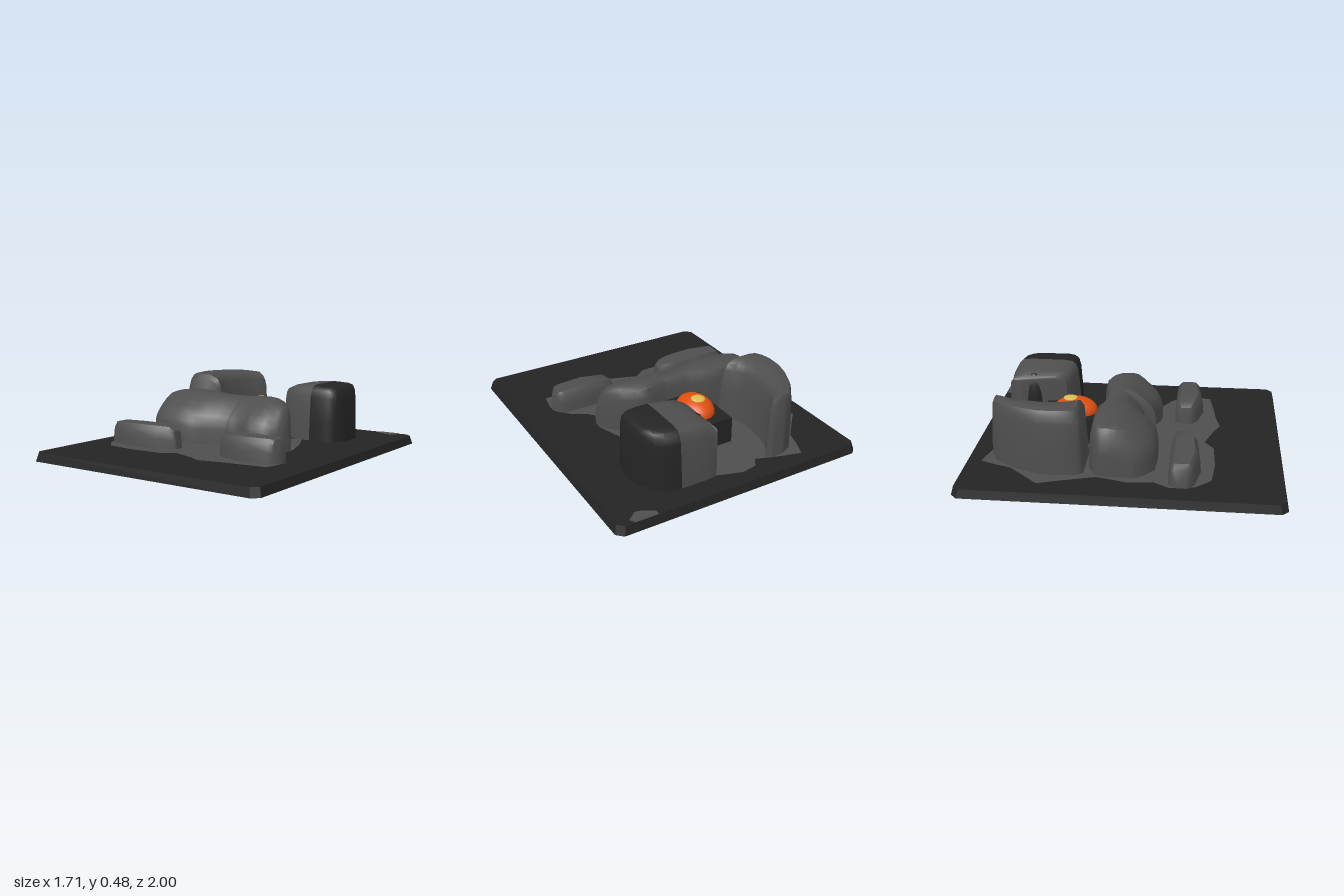
import * as THREE from 'three';
import { toCreasedNormals } from 'three/addons/utils/BufferGeometryUtils.js';

const GROUND = 0.055;

function material(name, color) {
  const m = new THREE.MeshStandardMaterial({ color });
  m.name = name;
  return m;
}

// Flat outline given as [x, z] pairs
function outline(points) {
  return new THREE.Shape(points.map(([x, z]) => new THREE.Vector2(x, -z)));
}

// Rock lofted along x or z. Each section is [position, sideA, sideB, height];
// the profile runs from side A over the top to side B as [across, up] fractions.
function loft(sections, profile, axis = 'x') {
  const pos = [], index = [], n = profile.length, base = 0.04;
  for (const [s, a, b, h] of sections) {
    for (const [f, u] of profile) {
      const across = a + (b - a) * f, y = base + (h - base) * u;
      if (axis === 'x') pos.push(s, y, across);
      else pos.push(across, y, s);
    }
  }
  const last = (sections.length - 1) * n;
  for (let i = 0; i < sections.length - 1; i++) {
    for (let j = 0; j < n - 1; j++) {
      const p = i * n + j, q = p + n;
      index.push(p, q, p + 1, q, q + 1, p + 1);
    }
  }
  for (let j = 1; j < n - 1; j++) {
    index.push(0, j, j + 1, last, last + j + 1, last + j);
  }
  const g = new THREE.BufferGeometry();
  g.setAttribute('position', new THREE.Float32BufferAttribute(pos, 3));
  g.setIndex(index);
  return toCreasedNormals(g, 0.7);
}

export function createModel() {
  const model = new THREE.Group();
  model.name = 'rockShrine';
  const slate = material('dark slate', 0x242424);
  const stone = material('grey stone', 0x4e4e4e);
  const orange = material('orange', 0xe0500f);
  const yellow = material('pale yellow', 0xdcbc50);

  function add(name, geometry, mat, x = 0, y = 0, z = 0) {
    const mesh = new THREE.Mesh(geometry, mat);
    mesh.name = name;
    mesh.position.set(x, y, z);
    model.add(mesh);
    return mesh;
  }

  // Slab with clipped corners and slightly sloping sides
  const X = 0.855, Z = 1, C = 0.04;
  const slab = new THREE.ExtrudeGeometry(outline([
    [-X + C, Z], [X - C, Z], [X, Z - C], [X, -Z + C],
    [X - C, -Z], [-X + C, -Z], [-X, -Z + C], [-X, Z - C],
  ]), { depth: GROUND, bevelEnabled: false }).rotateX(-Math.PI / 2);
  const p = slab.attributes.position;
  for (let i = 0; i < p.count; i++) {
    if (p.getY(i) > 0.01) p.setXYZ(i, p.getX(i) * 0.983, GROUND, p.getZ(i) * 0.986);
  }
  slab.computeVertexNormals();
  add('slab', slab, slate);

  // Stone stains on top of the slab
  function stain(name, points, mat, y) {
    add(name, new THREE.ShapeGeometry(outline(points)).rotateX(-Math.PI / 2), mat, 0, y, 0);
  }
  stain('stoneGround', [
    [-0.48, -0.9], [-0.36, -0.87], [-0.19, -0.81], [-0.15, -0.87], [-0.05, -0.89], [0.08, -0.85],
    [0.2, -0.8], [0.3, -0.38], [0.39, -0.2], [0.46, 0], [0.46, 0.05], [0.41, 0.14],
    [0.46, 0.2], [0.55, 0.25], [0.63, 0.35], [0.63, 0.42], [0.61, 0.53], [0.4, 0.56],
    [0.3, 0.57], [0.16, 0.6], [0.08, 0.56], [-0.09, 0.5], [-0.17, 0.56], [-0.4, 0.57],
    [-0.6, 0.55], [-0.69, 0.45], [-0.71, 0.3], [-0.65, 0.2], [-0.67, 0.05], [-0.62, -0.15],
    [-0.68, -0.35], [-0.73, -0.5], [-0.62, -0.62], [-0.55, -0.7], [-0.52, -0.8],
  ], stone, GROUND + 0.003);
  stain('cornerStone', [
    [0.59, -0.985], [0.74, -0.985], [0.76, -0.95], [0.7, -0.9], [0.66, -0.91], [0.59, -0.95],
  ], stone, GROUND + 0.003);
  stain('darkChip', [[-0.27, -0.36], [-0.25, -0.33], [-0.24, -0.37], [-0.26, -0.4]], slate, GROUND + 0.005);
  stain('darkChip', [[0.14, -0.36], [0.18, -0.32], [0.26, -0.37], [0.16, -0.41]], slate, GROUND + 0.005);
  stain('darkChip', [[0.18, -0.25], [0.24, -0.235], [0.31, -0.25], [0.27, -0.275], [0.18, -0.27]], slate, GROUND + 0.005);

  // Stone showing through the underside: x, z, half lengths, turn
  for (const [x, z, a, b, turn] of [
    [0.38, 0.4, 0.2, 0.05, 0.2], [0.23, -0.55, 0.06, 0.24, 0.1], [-0.46, -0.73, 0.14, 0.06, -0.5],
    [-0.45, -0.25, 0.14, 0.06, 0.3], [-0.47, 0.42, 0.23, 0.06, 0.1],
  ]) {
    const g = new THREE.CircleGeometry(1, 9).scale(a, b, 1).rotateZ(turn).rotateX(Math.PI / 2);
    add('undersideStone', g, stone, x, -0.001, z);
  }

  // Long rolling hill: low at the front, steep at the back
  const hillProfile = [
    [0, 0], [0.01, 0.35], [0.04, 0.5], [0.1, 0.61], [0.22, 0.74], [0.38, 0.87], [0.55, 0.97],
    [0.72, 1], [0.86, 0.99], [0.93, 0.93], [0.97, 0.75], [0.99, 0.45], [1, 0],
  ];
  add('hill', loft([
    [-0.61, 0.08, -0.14, 0.2], [-0.595, 0.11, -0.16, 0.31], [-0.56, 0.15, -0.18, 0.36],
    [-0.5, 0.2, -0.21, 0.375], [-0.35, 0.21, -0.215, 0.382], [-0.22, 0.205, -0.205, 0.378],
    [-0.15, 0.16, -0.175, 0.37], [-0.08, 0.115, -0.165, 0.367], [0.03, 0.1, -0.165, 0.367],
    [0.05, 0.17, -0.165, 0.368], [0.08, 0.17, -0.17, 0.369], [0.14, 0.16, -0.185, 0.372],
    [0.2, 0.19, -0.195, 0.372], [0.27, 0.205, -0.18, 0.367], [0.34, 0.185, -0.13, 0.355],
    [0.39, 0.15, -0.08, 0.335], [0.42, 0.12, -0.04, 0.3], [0.44, 0.1, 0, 0.2], [0.455, 0.07, 0.02, 0.08],
  ], hillProfile), stone);

  // Tall curved rock, hollow towards the middle
  const tallProfile = [
    [0, 0], [0.02, 0.5], [0.05, 0.8], [0.09, 0.91], [0.16, 0.98], [0.3, 1],
    [0.62, 0.995], [0.82, 0.93], [0.9, 0.83], [0.96, 0.5], [1, 0],
  ];
  add('crescentRock', loft([
    [-0.845, -0.38, -0.29, 0.2], [-0.825, -0.41, -0.27, 0.42], [-0.81, -0.45, -0.27, 0.455],
    [-0.76, -0.49, -0.31, 0.465], [-0.7, -0.535, -0.34, 0.47], [-0.6, -0.585, -0.36, 0.474],
    [-0.5, -0.615, -0.37, 0.476], [-0.4, -0.62, -0.365, 0.478], [-0.33, -0.615, -0.33, 0.476],
    [-0.28, -0.605, -0.28, 0.47], [-0.255, -0.595, -0.285, 0.44], [-0.235, -0.57, -0.32, 0.2],
  ], tallProfile, 'z'), stone);

  // Two-tone round rock: grey inner half, dark outer half
  const domeProfile = [
    [0, 0], [0.015, 0.4], [0.04, 0.8], [0.07, 0.92], [0.13, 0.98], [0.25, 1],
    [0.75, 1], [0.88, 0.98], [0.93, 0.92], [0.96, 0.8], [0.985, 0.4], [1, 0],
  ];
  add('roundRockInner', loft([
    [0.105, -0.75, -0.83, 0.37], [0.13, -0.43, -0.84, 0.395], [0.18, -0.405, -0.845, 0.415],
    [0.25, -0.39, -0.845, 0.424], [0.355, -0.38, -0.845, 0.43],
  ], domeProfile), stone);
  add('roundRockOuter', loft([
    [0.355, -0.38, -0.845, 0.43], [0.44, -0.375, -0.83, 0.427], [0.49, -0.385, -0.79, 0.423],
    [0.52, -0.4, -0.745, 0.412], [0.535, -0.42, -0.715, 0.395], [0.55, -0.45, -0.69, 0.33],
    [0.56, -0.48, -0.67, 0.22], [0.57, -0.52, -0.65, 0.07],
  ], domeProfile), slate);
  const scar = new THREE.SphereGeometry(1, 12, 10).scale(0.05, 0.195, 0.07);
  add('darkScar', scar, slate, 0.145, 0.215, -0.67);

  // Two low stones at the front
  const lowProfile = [
    [0, 0], [0.03, 0.5], [0.09, 0.85], [0.2, 1], [0.8, 1], [0.91, 0.85], [0.97, 0.5], [1, 0],
  ];
  add('lowStoneRight', loft([
    [-0.705, 0.41, 0.34, 0.08], [-0.685, 0.43, 0.3, 0.17], [-0.66, 0.45, 0.29, 0.197],
    [-0.5, 0.485, 0.285, 0.202], [-0.3, 0.47, 0.285, 0.202], [-0.22, 0.435, 0.3, 0.197],
    [-0.185, 0.415, 0.325, 0.17], [-0.165, 0.4, 0.345, 0.06],
  ], lowProfile), stone);
  add('lowStoneLeft', loft([
    [0.18, 0.405, 0.34, 0.08], [0.195, 0.42, 0.31, 0.17], [0.23, 0.445, 0.29, 0.197],
    [0.38, 0.485, 0.285, 0.202], [0.56, 0.465, 0.285, 0.202], [0.59, 0.45, 0.3, 0.197],
    [0.61, 0.42, 0.32, 0.17], [0.625, 0.4, 0.35, 0.06],
  ], lowProfile), stone);

  // Pedestal and glowing egg with a bright crown
  add('pedestal', new THREE.BoxGeometry(0.28, 0.185, 0.4), slate, -0.04, 0.1375, -0.37);
  add('egg', new THREE.SphereGeometry(1, 28, 18).scale(0.112, 0.09, 0.147), orange, -0.04, 0.235, -0.36);
  add('eggCrown', new THREE.SphereGeometry(1, 10, 8).scale(0.046, 0.012, 0.05), yellow, -0.04, 0.319, -0.39);

  return model;
}
